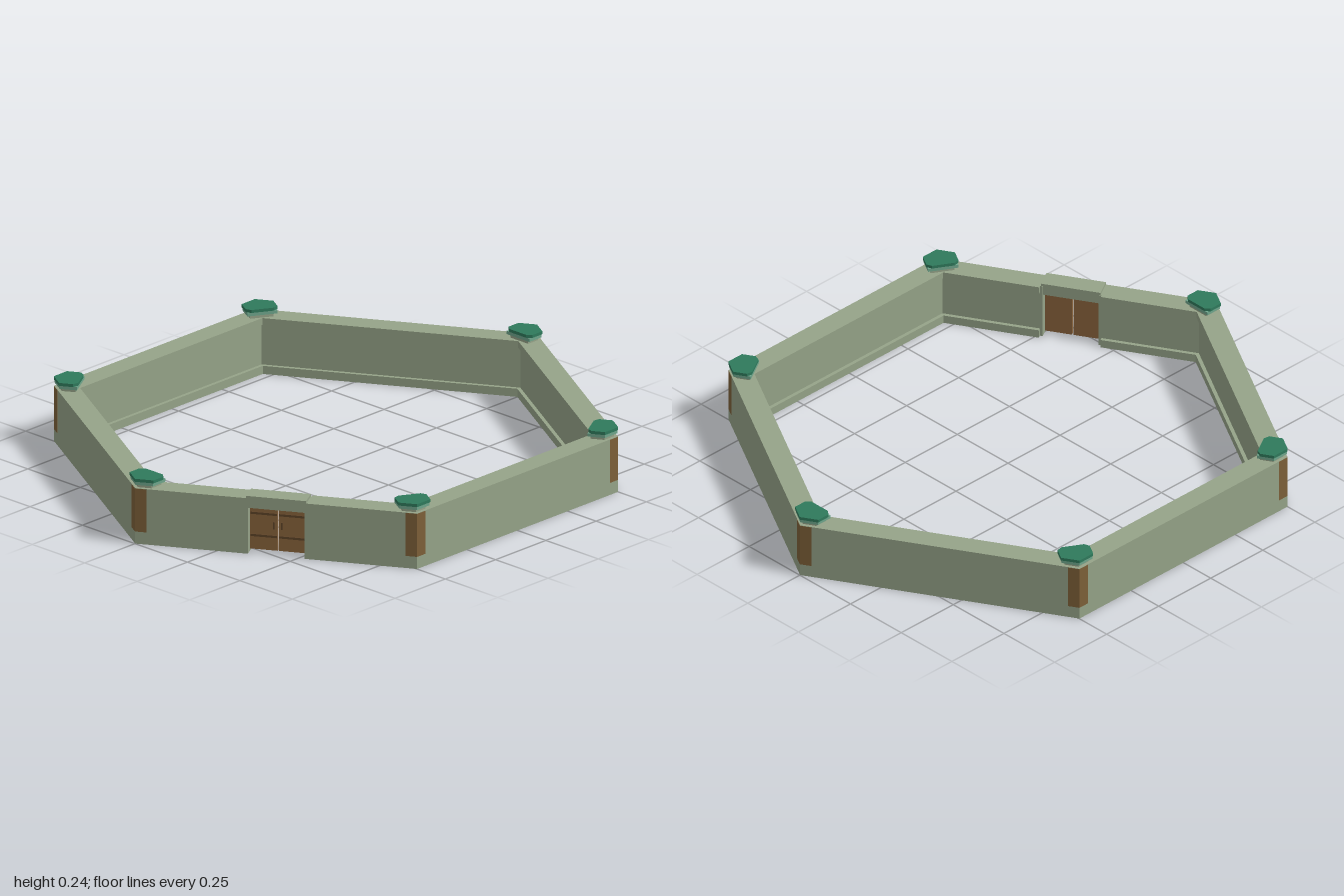
import * as THREE from 'three';

const mat = (name, color) => {
  const m = new THREE.MeshStandardMaterial({ color });
  m.name = name;
  return m;
};
const TAN30 = Math.tan(Math.PI / 6);

// Upright prism from a plan outline of [x, z] points
function prism(name, points, y0, y1, material) {
  const shape = new THREE.Shape(points.map(([x, z]) => new THREE.Vector2(x, -z)));
  const geo = new THREE.ExtrudeGeometry(shape, { depth: y1 - y0, bevelEnabled: false });
  geo.rotateX(-Math.PI / 2);
  geo.translate(0, y0, 0);
  const mesh = new THREE.Mesh(geo, material);
  mesh.name = name;
  return mesh;
}

// Length of wall between two distances from the centre; a null end is mitred into the corner
function run(name, inner, outer, y0, y1, material, s0 = null, s1 = null) {
  const left = (a) => (s0 === null ? -a * TAN30 : s0);
  const right = (a) => (s1 === null ? a * TAN30 : s1);
  return prism(name, [
    [left(inner), inner], [right(inner), inner],
    [right(outer), outer], [left(outer), outer],
  ], y0, y1, material);
}

function box(name, w, h, d, x, y, z, material) {
  const mesh = new THREE.Mesh(new THREE.BoxGeometry(w, h, d), material);
  mesh.name = name;
  mesh.position.set(x, y, z);
  return mesh;
}

export function createModel() {
  const stone = mat('sage stone', 0x95a388);
  const trim = mat('pale green trim', 0x6fa68c);
  const capGreen = mat('deep green', 0x2f7a5c);
  const bronze = mat('corner brown', 0x7d6038);
  const wood = mat('door wood', 0x8a643c);
  const darkWood = mat('dark iron wood', 0x5f4428);

  const model = new THREE.Group();
  model.name = 'hexagonalWall';
  const OUT = 0.865, TOP = 0.205, GATE = 0.1;

  // Six wall sides, the first one holding the gate
  for (let i = 0; i < 6; i++) {
    const side = new THREE.Group();
    side.name = i === 0 ? 'gateSide' : 'wallSide';
    side.rotation.y = Math.PI / 6 + i * Math.PI / 3;

    const spans = i === 0 ? [[null, -GATE], [GATE, null]] : [[null, null]];
    for (const [s0, s1] of spans) {
      // trims stop a little short of the gate opening
      const t0 = s0 === null ? null : s0 + 0.01;
      const t1 = s1 === null ? null : s1 - 0.01;
      side.add(
        run('wall', 0.794, OUT, 0, TOP, stone, s0, s1),
        run('innerPlinth', 0.781, 0.796, 0, 0.03, stone, t0, t1),
        run('innerCoping', 0.785, 0.796, 0.18, TOP, stone, t0, t1),
      );
    }
    // Corner plates wrapping the outside edge
    side.add(
      run('cornerPlate', 0.862, 0.866, 0.045, 0.204, bronze, null, -0.459),
      run('cornerPlate', 0.862, 0.866, 0.045, 0.204, bronze, 0.459, null),
    );
    if (i === 0) side.add(createGate(stone, wood, darkWood, GATE));
    model.add(side);
  }

  // Stepped caps on the six corners
  for (let i = 0; i < 6; i++) {
    const cap = new THREE.Group();
    cap.name = 'cornerCap';
    cap.rotation.y = i * Math.PI / 3;
    const plan = (w, back, tip) => [
      [-w, back], [w, back], [w, tip - w * TAN30], [0, tip], [-w, tip - w * TAN30],
    ];
    const topPlan = [
      [-0.04, 0.904], [0.04, 0.904], [0.057, 0.918], [0.057, 0.967],
      [0, 1], [-0.057, 0.967], [-0.057, 0.918],
    ];
    cap.add(
      prism('capNeck', plan(0.042, 0.912, 0.985), TOP - 0.005, 0.22, stone),
      prism('capTrim', plan(0.054, 0.905, 0.997), 0.217, 0.229, trim),
      prism('capTop', topPlan, 0.229, 0.24, capGreen),
    );
    model.add(cap);
  }
  return model;
}

function createGate(stone, wood, darkWood, half) {
  const gate = new THREE.Group();
  gate.name = 'gate';
  // Lintel with a slightly raised top
  gate.add(
    run('lintel', 0.796, 0.865, 0.17, 0.206, stone, -half, half),
    run('lintelTop', 0.796, 0.866, 0.203, 0.214, stone, -half - 0.006, half + 0.006),
  );
  // Twin doors with cross bars and handles
  const z = 0.826, front = z + 0.0075;
  for (const s of [-1, 1]) {
    const x = s * (half / 2 + 0.001);
    gate.add(
      box('door', half - 0.003, 0.162, 0.015, x, 0.089, z, wood),
      box('doorHandle', 0.006, 0.026, 0.008, s * 0.014, 0.102, front + 0.003, darkWood),
    );
    for (const y of [0.06, 0.142]) {
      gate.add(box('doorBar', half - 0.006, 0.008, 0.006, x, y, front + 0.002, darkWood));
    }
  }
  return gate;
}
